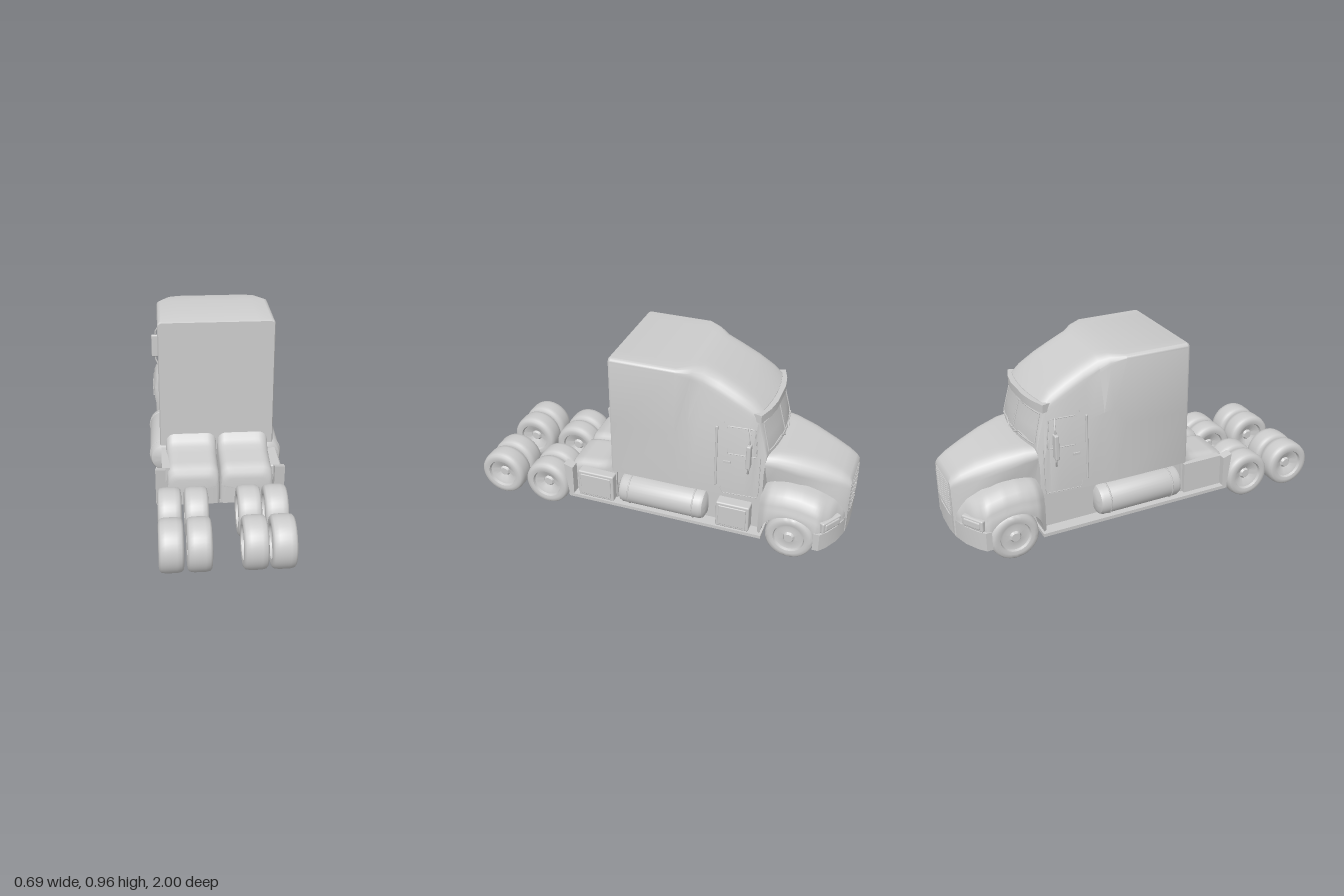
import * as THREE from 'three';
import { toCreasedNormals } from 'three/addons/utils/BufferGeometryUtils.js';
import { RoundedBoxGeometry } from 'three/addons/geometries/RoundedBoxGeometry.js';

const mat = new THREE.MeshStandardMaterial({ color: 0xcccccc, side: THREE.DoubleSide });
const V = (x, y, z) => new THREE.Vector3(x, y, z);

// Half outline of a body section: flat floor, wall to a shoulder, rounded roof corner
function sectionPoints([, y0, wB, ys, wT, yT, r]) {
  const half = [[0, y0], [wB, y0], [wB, ys], [wT, yT - r]];
  for (let k = 1; k <= 6; k++) {
    const a = (k / 6) * Math.PI / 2;
    half.push([wT - r + r * Math.cos(a), yT - r + r * Math.sin(a)]);
  }
  for (let k = 1; k <= 4; k++) half.push([(wT - r) * (1 - k / 4), yT]);
  const mirror = half.slice(1, -1).reverse().map(([x, y]) => [-x, y]);
  return half.concat(mirror);
}

// Loft through sections [z, y0, wB, ys, wT, yT, r, bow], listed from rear to front
function loft(sections, crease = 0.5) {
  const pos = [], idx = [];
  const n = sectionPoints(sections[0]).length;
  for (const s of sections)
    for (const [x, y] of sectionPoints(s)) pos.push(x, y, s[0] + (s[7] || 0) * (x / 0.25) ** 2);
  for (let i = 0; i < sections.length - 1; i++)
    for (let j = 0; j < n; j++) {
      const a = i * n + j, b = i * n + (j + 1) % n, c = b + n, d = a + n;
      idx.push(a, d, c, a, c, b);
    }
  const last = sections.length - 1;
  [0, last].forEach((i) => {
    const s = sections[i], c = pos.length / 3;
    pos.push(0, (s[1] + s[5]) / 2, s[0]);
    for (let j = 0; j < n; j++) {
      const a = i * n + j, b = i * n + (j + 1) % n;
      if (i === 0) idx.push(c, a, b); else idx.push(c, b, a);
    }
  });
  const g = new THREE.BufferGeometry();
  g.setAttribute('position', new THREE.Float32BufferAttribute(pos, 3));
  g.setIndex(idx);
  return toCreasedNormals(g, crease);
}

// Plan outline given for +x, mirrored and extruded between two heights
function plan(points, y0, y1) {
  const all = points.concat(points.slice().reverse().map(([x, z]) => [-x, z]));
  const shape = new THREE.Shape(all.map(([x, z]) => new THREE.Vector2(x, z)));
  const g = new THREE.ExtrudeGeometry(shape, { depth: y1 - y0, bevelEnabled: false });
  g.rotateX(Math.PI / 2).translate(0, y1, 0);
  return toCreasedNormals(g, 0.6);
}

// Thin rod or seam running through straight segments
function rod(points, r, closed = false) {
  const path = new THREE.CurvePath();
  const p = closed ? points.concat([points[0]]) : points;
  for (let i = 0; i < p.length - 1; i++) path.add(new THREE.LineCurve3(p[i], p[i + 1]));
  return new THREE.TubeGeometry(path, p.length * 6, r, 6);
}

// Wheel: domed tread, rounded shoulders, dished rim and hub, axis along x
function wheel(width, hub) {
  const w = width / 2;
  const side = [[0, w * hub], [0.022, w * hub], [0.03, w * hub - 0.012], [0.06, w * 0.62], [0.075, w * 0.7],
    [0.08, w * 0.94], [0.095, w], [0.112, w * 0.95], [0.121, w * 0.8], [0.125, w * 0.45]];
  const prof = side.map(([r, y]) => [r, -y]).concat(side.slice().reverse());
  const g = new THREE.LatheGeometry(prof.map(([r, y]) => new THREE.Vector2(r, y)), 40);
  return toCreasedNormals(g.rotateZ(-Math.PI / 2), 0.7);
}

export function createModel() {
  const root = new THREE.Group();
  const add = (name, geo, x = 0, y = 0, z = 0, ry = 0) => {
    const m = new THREE.Mesh(geo, mat);
    m.name = name;
    m.position.set(x, y, z);
    m.rotation.y = ry;
    root.add(m);
    return m;
  };

  // Sleeper and cab in one shell: square rear, tapered roof fairing, raked windshield
  add('cabAndSleeper', loft([
    [0.215, 0.3, 0.285, 0.6, 0.285, 0.96, 0.02],
    [0.205, 0.3, 0.29, 0.6, 0.29, 0.965, 0.022],
    [-0.13, 0.3, 0.29, 0.6, 0.29, 0.965, 0.022],
    [-0.2, 0.3, 0.29, 0.7, 0.262, 0.965, 0.05],
    [-0.25, 0.3, 0.287, 0.69, 0.24, 0.953, 0.075],
    [-0.33, 0.3, 0.283, 0.67, 0.24, 0.918, 0.08],
    [-0.42, 0.3, 0.278, 0.65, 0.242, 0.872, 0.08],
    [-0.51, 0.3, 0.272, 0.63, 0.238, 0.82, 0.07, 0.015],
    [-0.565, 0.3, 0.265, 0.62, 0.232, 0.775, 0.05, 0.035],
    [-0.575, 0.3, 0.262, 0.6, 0.23, 0.73, 0.03, 0.04],
    [-0.6, 0.3, 0.257, 0.5, 0.232, 0.635, 0.02, 0.04],
    [-0.622, 0.3, 0.252, 0.45, 0.238, 0.55, 0.02, 0.04],
  ]));

  // Hood, sloping and narrowing to the grille
  add('hood', loft([
    [-0.58, 0.12, 0.2, 0.36, 0.245, 0.545, 0.05],
    [-0.64, 0.12, 0.19, 0.36, 0.235, 0.548, 0.065],
    [-0.75, 0.12, 0.19, 0.36, 0.212, 0.53, 0.08],
    [-0.86, 0.12, 0.19, 0.34, 0.18, 0.497, 0.08],
    [-0.94, 0.12, 0.17, 0.32, 0.155, 0.46, 0.06],
    [-0.98, 0.12, 0.15, 0.3, 0.14, 0.433, 0.045],
    [-0.995, 0.12, 0.135, 0.3, 0.13, 0.41, 0.03],
  ], 0.6));

  // Front fenders: the floor of the loft follows the wheel arch
  const key = (table, z) => {
    let i = 0;
    while (i < table.length - 2 && z < table[i + 1][0]) i++;
    const [a, b] = [table[i], table[i + 1]];
    return a[1] + (b[1] - a[1]) * THREE.MathUtils.clamp((z - a[0]) / (b[0] - a[0]), 0, 1);
  };
  const widths = [[-0.575, 0.285], [-0.61, 0.312], [-0.66, 0.32], [-0.88, 0.32], [-0.93, 0.275], [-0.985, 0.16]];
  const tops = [[-0.575, 0.36], [-0.62, 0.383], [-0.7, 0.395], [-0.78, 0.39], [-0.86, 0.37], [-0.93, 0.33], [-0.985, 0.28]];
  const fender = [];
  for (let k = 0; k <= 32; k++) {
    const z = -0.575 - 0.41 * k / 32, d = z + 0.74;
    const arch = Math.abs(d) < 0.145 ? 0.13 + Math.sqrt(0.145 ** 2 - d * d) * 0.95 : d > 0 ? 0.11 : 0.2;
    const w = key(widths, z), t = key(tops, z);
    fender.push([z, arch, w, Math.max(arch, t - 0.11), w - 0.005, t, Math.min(0.1, t - arch - 0.005)]);
  }
  add('frontFenders', loft(fender, 0.6));

  // Wraparound bumper
  add('bumper', plan([[0.325, -0.865], [0.325, -0.895], [0.29, -0.925], [0.22, -0.965], [0.14, -0.99], [0.06, -1]], 0.11, 0.21));

  // Grille with slats and a frame
  add('grilleFrame', rod([V(-0.11, 0.225, -0.993), V(0.11, 0.225, -0.993), V(0.118, 0.385, -0.993), V(-0.118, 0.385, -0.993)], 0.006, true));
  for (let k = 0; k < 11; k++) add('grilleSlat', new THREE.BoxGeometry(0.22, 0.006, 0.008), 0, 0.236 + k * 0.0138, -0.995);

  // Windshield frame, divider, sun visor and wipers
  const glass = (x, y, off = 0.002) => V(x, y, -0.575 - 0.047 * (0.73 - y) / 0.18 + 0.04 * (x / 0.25) ** 2 - off);
  const arc = (y, w) => Array.from({ length: 9 }, (_, k) => glass(w * (k / 4 - 1), y));
  add('windshieldFrame', rod(arc(0.565, 0.215).concat(arc(0.715, 0.205).reverse()), 0.004, true));
  add('windshieldDivider', rod([glass(0, 0.565), glass(0, 0.715)], 0.004));
  add('sunVisor', plan([[0.23, -0.51], [0.24, -0.55], [0.16, -0.577], [0.08, -0.59]], 0.73, 0.772));
  for (const s of [-1, 1])
    add('wiper', rod([glass(s * 0.03, 0.56, 0.01), glass(s * 0.08, 0.583, 0.01), glass(s * 0.17, 0.575, 0.01)], 0.004));

  // Chassis core, floor plate and wheel-width nose of the floor
  add('chassisBody', new THREE.BoxGeometry(0.5, 0.2, 0.8), 0, 0.205, -0.19);
  add('floorPlate', plan([[0.315, 0.46], [0.315, -0.6], [0.19, -0.6], [0.19, -0.88], [0.3, -0.88], [0.13, -0.98]], 0.095, 0.113));

  // Twin rounded deck covers behind the sleeper
  const deckTop = [[0.472, 0.235], [0.466, 0.265], [0.45, 0.285], [0.4, 0.297], [0.31, 0.305], [0.27, 0.315], [0.24, 0.332], [0.222, 0.36], [0.2, 0.37]];
  const deck = deckTop.map(([z, t], i) => {
    const w = i === 0 ? 0.115 : i === 1 ? 0.126 : 0.132;
    return [z, 0.1, w, 0.2, w - 0.004, t, 0.045];
  });
  for (const s of [-1, 1]) add('rearDeckCover', loft(deck, 0.8), s * 0.132, 0, 0);

  // Side equipment, mirrored
  for (const s of [-1, 1]) {
    // Fuel tank with domed ends and straps
    const tank = [[0, -0.24], [0.05, -0.237], [0.074, -0.225], [0.081, -0.21], [0.081, 0.21], [0.074, 0.225], [0.05, 0.237], [0, 0.24]];
    const tg = new THREE.LatheGeometry(tank.map(([r, y]) => new THREE.Vector2(r, y)), 32).rotateX(Math.PI / 2);
    add('fuelTank', toCreasedNormals(tg, 0.6), s * 0.262, 0.2, -0.065);
    for (const z of [-0.24, 0.11]) add('tankStrap', new THREE.TorusGeometry(0.081, 0.004, 6, 32), s * 0.262, 0.2, z);

    // Slanted mudguard bracket ahead of the rear wheels
    const bs = new THREE.Shape([[-0.48, 0.3], [-0.43, 0.285], [-0.43, 0.12], [-0.455, 0.1]].map(([a, b]) => new THREE.Vector2(a, b)));
    const bg = new THREE.ExtrudeGeometry(bs, { depth: 0.05, bevelEnabled: false }).rotateY(Math.PI / 2);
    add('mudguardBracket', bg, s * 0.293 - 0.025, 0, 0);

    // Headlight with frame
    add('headlight', new RoundedBoxGeometry(0.13, 0.06, 0.03, 3, 0.008), s * 0.255, 0.243, -0.929, s * -0.56);
    add('headlightLens', new RoundedBoxGeometry(0.1, 0.04, 0.03, 3, 0.008), s * 0.257, 0.243, -0.934, s * -0.56);

    // Mirror on a bent arm
    add('mirror', new RoundedBoxGeometry(0.038, 0.13, 0.022, 3, 0.006), s * 0.306, 0.575, -0.515);
    add('mirrorArm', rod([V(s * 0.265, 0.705, -0.5), V(s * 0.285, 0.69, -0.51), V(s * 0.302, 0.66, -0.515),
      V(s * 0.302, 0.49, -0.515), V(s * 0.287, 0.46, -0.51), V(s * 0.268, 0.45, -0.5)], 0.005));

    // Grab rail, side window outline, door seams and handle
    add('grabRail', new RoundedBoxGeometry(0.012, 0.35, 0.012, 2, 0.005), s * 0.284, 0.525, -0.345);
    const wall = (z, y) => V(s * (0.283 - (-0.33 - z) * 0.062 - Math.max(0, y - 0.64) * 0.19), y, z);
    add('sideWindowFrame', rod([wall(-0.4, 0.55), wall(-0.55, 0.55), wall(-0.53, 0.7), wall(-0.39, 0.7)], 0.003, true));
    add('doorSeam', rod([wall(-0.375, 0.72), wall(-0.37, 0.31), wall(-0.565, 0.31), wall(-0.565, 0.55)], 0.002));
    add('doorHandle', new THREE.BoxGeometry(0.01, 0.012, 0.035), s * 0.281, 0.5, -0.4);

    // Wheels: single front, dual rear on two axles
    add('frontWheel', wheel(0.105, 0.95), s * 0.255, 0.13, -0.74);
    for (const z of [0.6, 0.872])
      for (const x of [0.126, 0.254]) add('rearWheel', wheel(0.115, 0.55), s * x, 0.13, z);
  }

  // Boxes found on the right-hand (+x) side only: battery box and tool box
  for (const [name, z, len, top] of [['batteryBox', -0.445, 0.175, 0.262], ['toolBox', 0.305, 0.2, 0.268]]) {
    add(name, new RoundedBoxGeometry(0.1, top - 0.113, len, 2, 0.008), 0.258, (top + 0.113) / 2, z);
    add(name + 'Panel', new RoundedBoxGeometry(0.01, top - 0.145, len - 0.03, 2, 0.004), 0.308, (top + 0.113) / 2, z);
  }
  // Plain filler panel on the other side
  add('sidePanel', new THREE.BoxGeometry(0.04, 0.17, 0.22), -0.265, 0.2, 0.32);
  return root;
}
